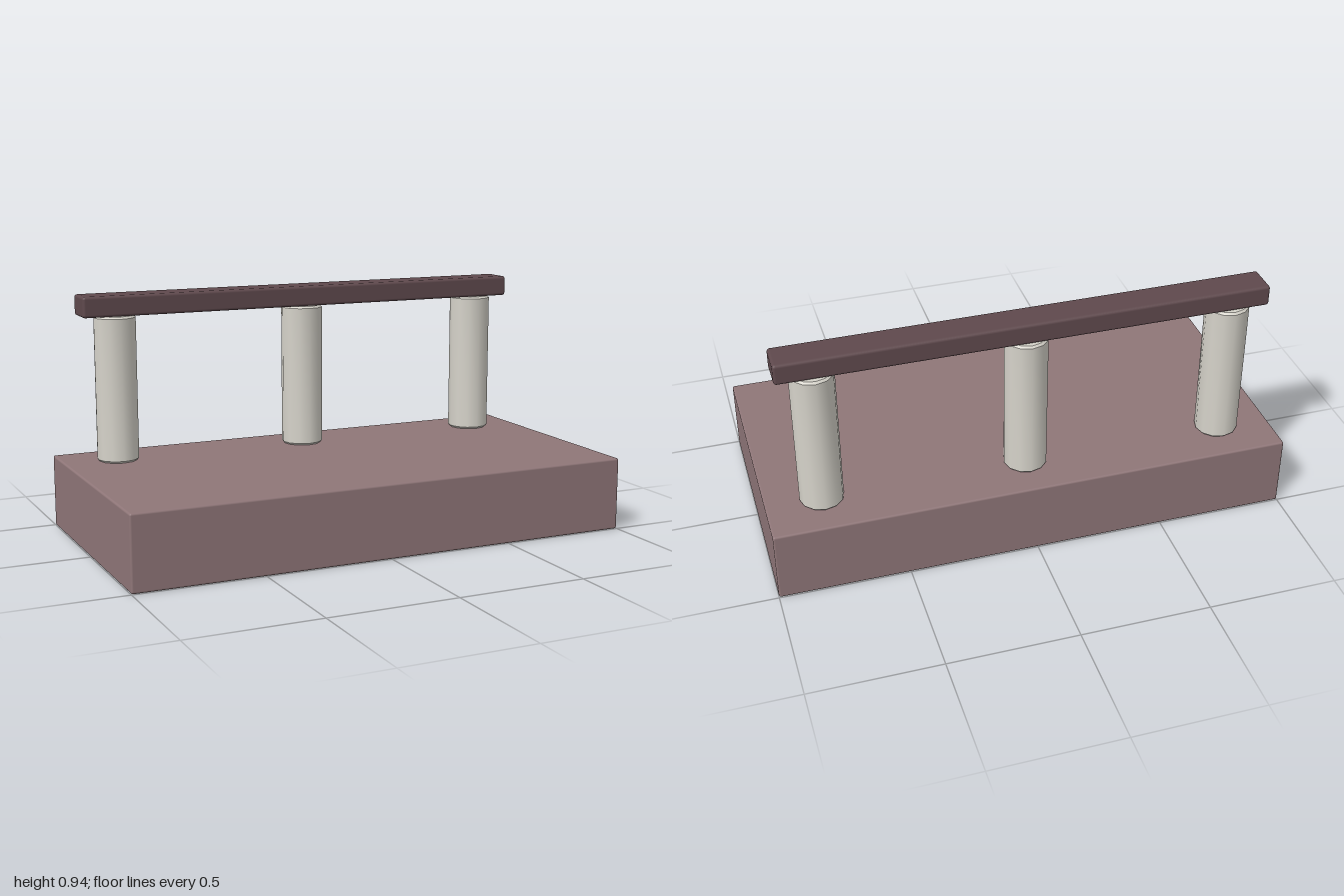
import * as THREE from 'three';
import { toCreasedNormals } from 'three/addons/utils/BufferGeometryUtils.js';
import { RoundedBoxGeometry } from 'three/addons/geometries/RoundedBoxGeometry.js';

const material = (name, color) => {
  const m = new THREE.MeshStandardMaterial({ color });
  m.name = name;
  return m;
};

export function createModel() {
  const model = new THREE.Group();
  model.name = 'platformWithRailing';

  const baseMat = material('dusty mauve', 0x8f7678);
  const postMat = material('pale stone', 0xd6d3ca);
  const railMat = material('dark plum', 0x5f494d);

  const add = (name, geometry, mat, x, y, z) => {
    const mesh = new THREE.Mesh(geometry, mat);
    mesh.name = name;
    mesh.position.set(x, y, z);
    model.add(mesh);
  };

  const baseTop = 0.285, postTop = 0.855, railZ = -0.32;

  // Slab with slightly softened edges
  add('base', new RoundedBoxGeometry(2, baseTop, 1, 2, 0.008), baseMat, 0, baseTop / 2, 0);

  // Twelve-sided posts with small bevels at both ends
  const r = 0.083, b = 0.008, h = postTop - baseTop;
  const profile = [[0, 0], [r - b, 0], [r, b], [r, h - b], [r - b, h], [0, h]]
    .map(([x, y]) => new THREE.Vector2(x, y));
  const postGeo = toCreasedNormals(new THREE.LatheGeometry(profile, 12), 0.6);
  for (const [name, x] of [['rightPost', -0.787], ['middlePost', 0], ['leftPost', 0.787]]) {
    add(name, postGeo, postMat, x, baseTop, railZ);
  }

  // Handrail resting on the posts
  add('rail', new RoundedBoxGeometry(1.855, 0.081, 0.126, 2, 0.011), railMat, 0, postTop + 0.04, railZ);

  return model;
}
